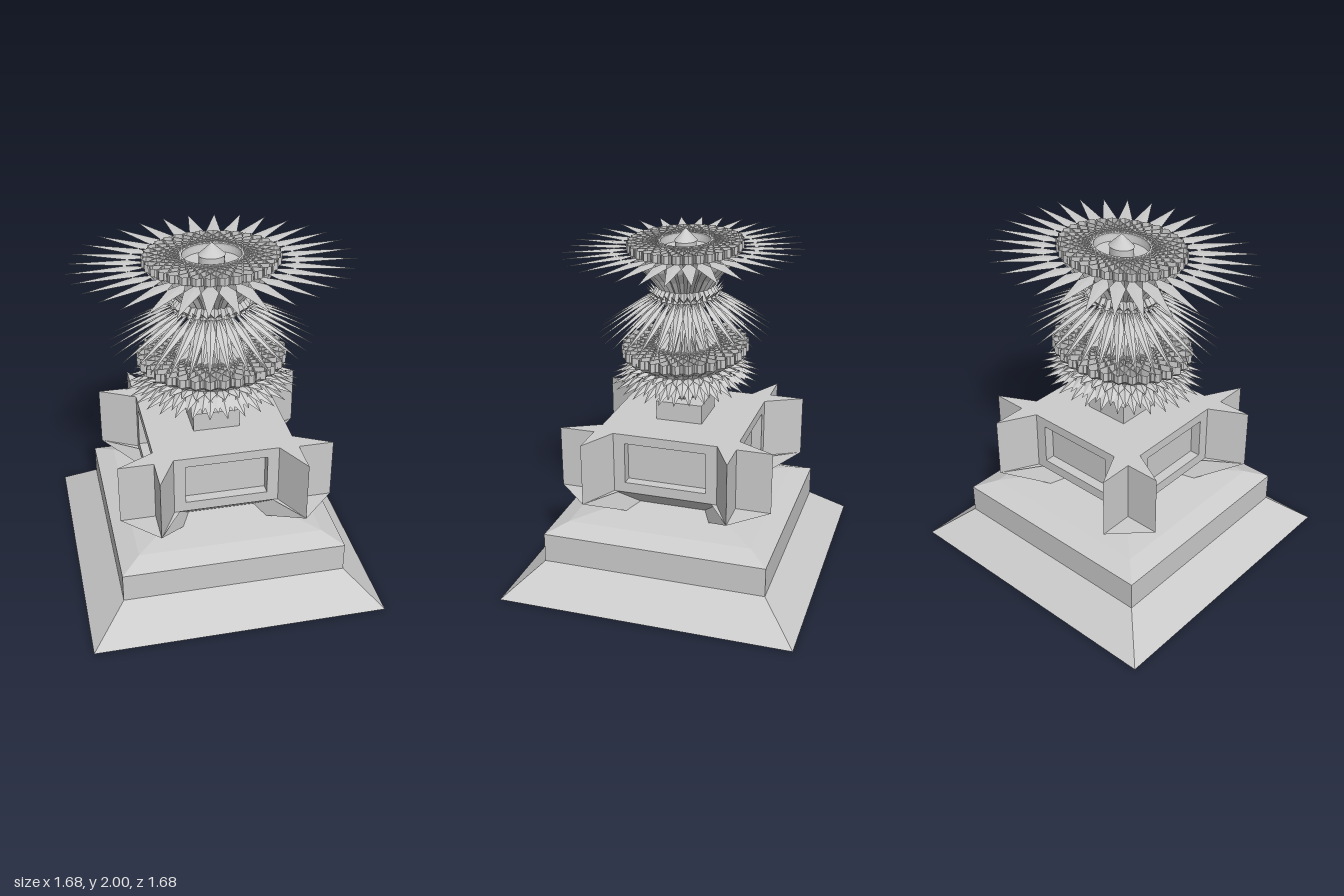
import * as THREE from 'three';

const mat = new THREE.MeshStandardMaterial({ color: 0xcccccc, flatShading: true, side: THREE.DoubleSide });
const TAU = Math.PI * 2;

function add(parent, geometry, name) {
  const m = new THREE.Mesh(geometry, mat);
  m.name = name;
  parent.add(m);
  return m;
}

function fromTriangles(pos) {
  const g = new THREE.BufferGeometry();
  g.setAttribute('position', new THREE.Float32BufferAttribute(pos, 3));
  g.computeVertexNormals();
  return g;
}

// Skin over a stack of closed rings, bottom to top, each ring running from +z towards +x
function loft(rings) {
  const pos = [];
  for (let i = 0; i < rings.length - 1; i++) {
    const a = rings[i], b = rings[i + 1], n = a.length;
    for (let j = 0; j < n; j++) {
      const k = (j + 1) % n;
      pos.push(...a[j], ...a[k], ...b[k], ...a[j], ...b[k], ...b[j]);
    }
  }
  return fromTriangles(pos);
}

const square = (h, y) => [[-h, y, h], [h, y, h], [h, y, -h], [-h, y, -h]];

// Fluted surface of revolution; the profile lists [radius, height]
function pleats(profile, n, depth) {
  return loft(profile.map(([r, y]) => Array.from({ length: n * 2 }, (_, i) => {
    const a = i / (n * 2) * TAU, q = r * (i % 2 ? 1 - depth : 1);
    return [Math.sin(a) * q, y, Math.cos(a) * q];
  })));
}

// Ring of kite-shaped blades with a slight ridge; inner, widest and tip given as [radius, height]
function blades(n, inner, wide, tip, offset = 0, ridge = 0.012) {
  const pos = [];
  const at = ([r, y], a) => [Math.sin(a) * r, y, Math.cos(a) * r];
  for (let i = 0; i < n; i++) {
    const a = (i + offset) / n * TAU, w = Math.PI / n;
    const p = at(inner, a), q = at(tip, a), l = at(wide, a - w), r = at(wide, a + w);
    const c = at([wide[0], wide[1] + ridge], a);
    pos.push(...p, ...l, ...c, ...l, ...q, ...c, ...q, ...r, ...c, ...r, ...p, ...c);
  }
  return fromTriangles(pos);
}

// Straight slats laid as chords of a circle, all tangent to a smaller one
function slats(parent, n, rOut, rIn, y, h, name) {
  const g = new THREE.Group();
  g.name = name;
  const box = new THREE.BoxGeometry(2 * Math.sqrt(rOut * rOut - rIn * rIn), h, 0.006);
  for (let i = 0; i < n; i++) {
    const a = i / n * TAU;
    const m = add(g, box, 'slat');
    m.position.set(Math.sin(a) * rIn, y, Math.cos(a) * rIn);
    m.rotation.y = a;
  }
  parent.add(g);
}

// Repeats plan points [x, z] of one corner around the four corners
function fourCorners(pts) {
  const out = [];
  for (let k = 0; k < 4; k++) {
    for (const [x, z] of pts) {
      const c = Math.round(Math.cos(k * Math.PI / 2)), s = Math.round(Math.sin(k * Math.PI / 2));
      out.push([x * c + z * s, z * c - x * s]);
    }
  }
  return out;
}

function buildPedestal(root) {
  const g = new THREE.Group();
  g.name = 'pedestal';
  root.add(g);

  add(g, loft([square(0, 0), square(0.84, 0), square(0.64, 0.175), square(0.64, 0.345),
    square(0.53, 0.39), square(0, 0.475)]), 'steppedBase');

  // Flared underside beneath the corner fins
  const ring = fourCorners([[0.30, 0.40], [0.41, 0.61], [0.61, 0.41], [0.40, 0.30]]);
  const at = (s, y) => ring.map(([x, z]) => [x * s, y, z * s]);
  add(g, loft([at(0.58, 0.41), at(1, 0.555), at(0, 0.555)]), 'flaredUnderside');

  // Block with notched corner fins
  const plan = fourCorners([[0.30, 0.34], [0.30, 0.40], [0.41, 0.61], [0.41, 0.41], [0.61, 0.41], [0.40, 0.30], [0.34, 0.30]]);
  const block = new THREE.ExtrudeGeometry(new THREE.Shape(plan.map(p => new THREE.Vector2(...p))),
    { depth: 0.355, bevelEnabled: false });
  block.rotateX(Math.PI / 2).translate(0, 0.91, 0);
  add(g, block, 'finnedBlock');

  // Frames around the four recessed panels
  const rect = (s, x, y0, y1) => s.moveTo(-x, y0).lineTo(x, y0).lineTo(x, y1).lineTo(-x, y1).closePath();
  const outline = rect(new THREE.Shape(), 0.30, 0.555, 0.91);
  outline.holes.push(rect(new THREE.Path(), 0.235, 0.615, 0.855));
  const frame = new THREE.ExtrudeGeometry(outline, { depth: 0.06, bevelEnabled: false }).translate(0, 0, 0.34);
  for (let k = 0; k < 4; k++) add(g, frame, 'panelFrame').rotation.y = k * Math.PI / 2;

  add(g, new THREE.BoxGeometry(0.27, 0.11, 0.27).translate(0, 0.965, 0), 'neckBlock');
}

function buildTower(root) {
  const g = new THREE.Group();
  g.name = 'bladedTower';
  g.scale.z = 0.835;
  root.add(g);
  const n = 32;

  // Lower tier
  add(g, pleats([[0.07, 1.02], [0.25, 1.15], [0.33, 1.17]], n, 0.15), 'lowerCone');
  add(g, blades(n, [0.28, 1.20], [0.38, 1.19], [0.50, 1.15]), 'lowerBlades');
  add(g, blades(n, [0.26, 1.23], [0.36, 1.21], [0.45, 1.165], 0.5), 'lowerInnerBlades');
  add(g, blades(n, [0.26, 1.235], [0.34, 1.23], [0.41, 1.225]), 'lowerStar');
  add(g, pleats([[0.30, 1.21], [0.33, 1.25], [0.40, 1.28], [0.425, 1.30], [0.425, 1.35]], n, 0.07), 'lowerDrum');
  slats(g, n, 0.41, 0.18, 1.325, 0.045, 'lowerSlats');

  // Waist
  add(g, pleats([[0.22, 1.34], [0.12, 1.43], [0.17, 1.44], [0.17, 1.455], [0.11, 1.50], [0.14, 1.58], [0.19, 1.64]], n, 0.18), 'waist');

  // Drooping canopy
  add(g, blades(n, [0.17, 1.64], [0.30, 1.575], [0.575, 1.425]), 'canopyBlades');
  add(g, blades(n, [0.15, 1.63], [0.26, 1.56], [0.46, 1.43], 0.5), 'canopyInnerBlades');
  add(g, blades(n, [0.15, 1.62], [0.21, 1.635], [0.26, 1.685]), 'collarBlades');

  // Upper cup and crown
  add(g, pleats([[0.23, 1.63], [0.19, 1.68], [0.25, 1.75], [0.33, 1.82], [0.37, 1.885]], n, 0.1), 'upperCup');
  add(g, blades(n, [0.33, 1.89], [0.46, 1.89], [0.79, 1.89], 0, 0.004), 'crownBlades');
  add(g, pleats([[0.38, 1.89], [0.38, 1.935]], n, 0.06), 'crownDrum');
  slats(g, n, 0.37, 0.165, 1.912, 0.045, 'crownSlats');

  // Dish and finial
  const dish = [[0.165, 1.935], [0.155, 1.89], [0.07, 1.88], [0.07, 1.93], [0.075, 1.93], [0, 2.0]];
  add(g, new THREE.LatheGeometry(dish.map(p => new THREE.Vector2(...p)), 40), 'dishAndFinial');
}

export function createModel() {
  const root = new THREE.Group();
  root.name = 'bladedTowerOnPedestal';
  buildPedestal(root);
  buildTower(root);
  return root;
}
